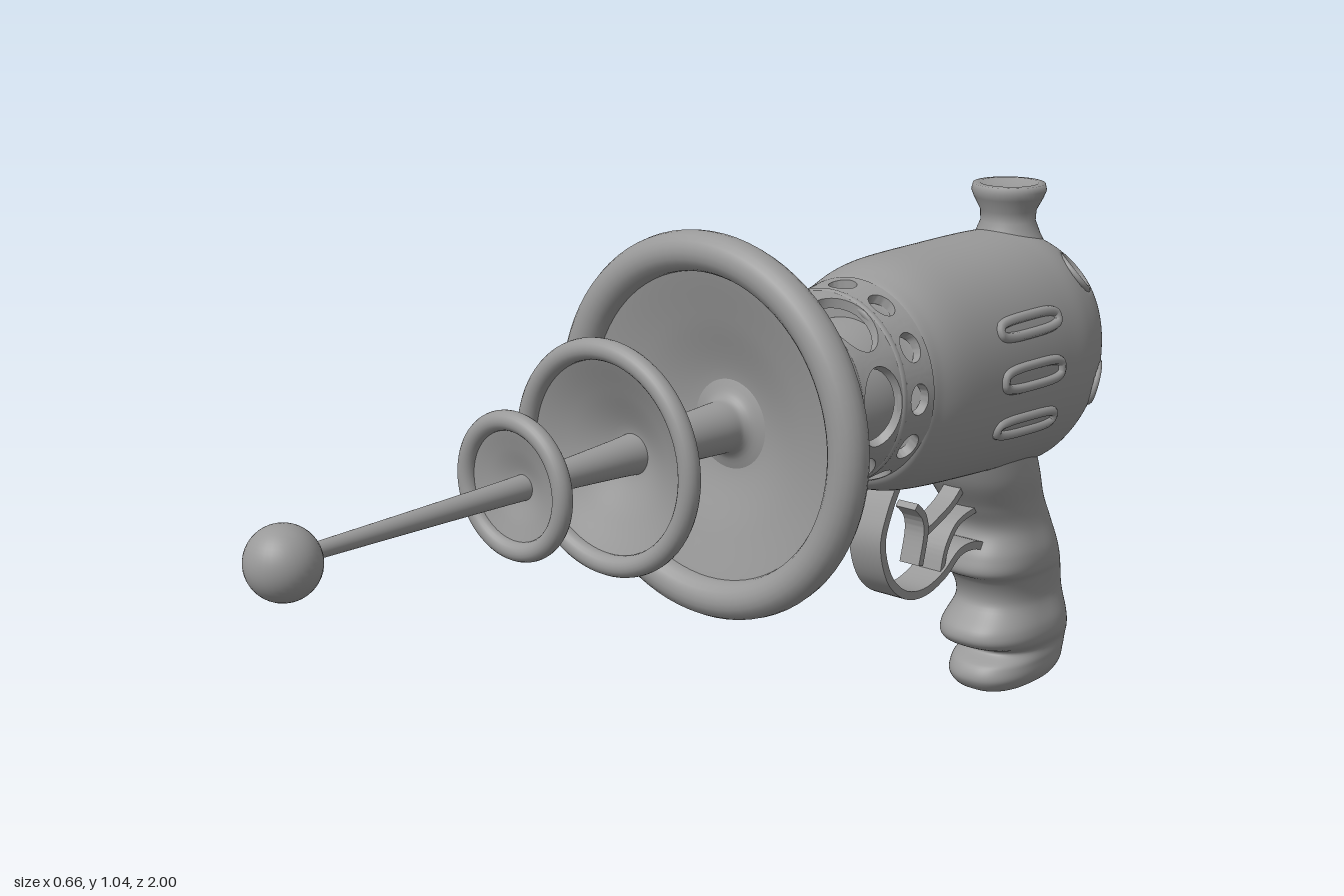
import * as THREE from 'three';
import { mergeGeometries, toCreasedNormals } from 'three/addons/utils/BufferGeometryUtils.js';

const metal = new THREE.MeshStandardMaterial({ color: 0x999999 });
metal.name = 'grey metal';
const AXIS = 0.708; // height of the barrel axis
const V = (x, y, z) => new THREE.Vector3(x, y, z);
const sgnPow = (v, e) => Math.sign(v) * Math.abs(v) ** e;

// Smooth interpolation through rows of numbers, t in 0..1
function sampleRows(rows, t) {
  const n = rows.length - 1, f = Math.min(t * n, n - 1e-6), i = Math.floor(f), u = f - i;
  const r = k => rows[Math.max(0, Math.min(n, k))];
  return rows[0].map((_, c) => {
    const [a, b, d, e] = [r(i - 1)[c], r(i)[c], r(i + 1)[c], r(i + 2)[c]];
    return b + 0.5 * u * (d - a + u * (2 * a - 5 * b + 4 * d - e + u * (3 * (b - d) + e - a)));
  });
}

// Surface made of loops: point(u, angle), closed around the angle
function loft(nu, nv, point) {
  const pos = [], idx = [];
  for (let i = 0; i <= nu; i++)
    for (let j = 0; j < nv; j++) pos.push(...point(i / nu, (j / nv) * Math.PI * 2).toArray());
  for (let i = 0; i < nu; i++)
    for (let j = 0; j < nv; j++) {
      const a = i * nv + j, d = i * nv + (j + 1) % nv, b = a + nv, c = d + nv;
      idx.push(a, b, d, b, c, d);
    }
  const g = new THREE.BufferGeometry();
  g.setAttribute('position', new THREE.Float32BufferAttribute(pos, 3));
  g.setIndex(idx);
  g.computeVertexNormals();
  return g;
}

// Lathe around the z axis, points are [radius, z] from back to front
function latheZ(pts, smooth = 1) {
  const p = pts.map(([r, z]) => new THREE.Vector2(r, z));
  const prof = smooth ? new THREE.SplineCurve(p).getPoints(pts.length * 6) : p;
  prof.forEach(q => { q.x = Math.max(0, q.x); });
  return new THREE.LatheGeometry(prof, 64).rotateX(Math.PI / 2);
}

// Flat band following a curve of [z, y] points
function band(pts, width, thick) {
  const c = new THREE.SplineCurve(pts.map(p => new THREE.Vector2(...p)));
  const side = s => Array.from({ length: 41 }, (_, i) => {
    const t = c.getTangent(i / 40), p = c.getPoint(i / 40);
    return new THREE.Vector2(p.x - t.y * s * thick / 2, p.y + t.x * s * thick / 2);
  });
  const shape = new THREE.Shape([...side(1), ...side(-1).reverse()]);
  const g = new THREE.ExtrudeGeometry(shape, { depth: width, bevelEnabled: false });
  return toCreasedNormals(g.rotateY(-Math.PI / 2).translate(width / 2, 0, 0), 0.6);
}

// Rounded lip drawn on a lofted surface
function lip(point, t0, dt, a0, da, radius) {
  const pts = Array.from({ length: 32 }, (_, i) => {
    const q = (i / 32) * Math.PI * 2;
    return point(t0 + dt * sgnPow(Math.cos(q), 0.6), a0 + da * sgnPow(Math.sin(q), 0.6));
  });
  return new THREE.TubeGeometry(new THREE.CatmullRomCurve3(pts, true), 80, radius, 8, true);
}

// Body sections: z, centre y, half width, half height
const bodyRows = [
  [-0.33, 0.71, 0.1, 0.12], [-0.337, 0.71, 0.165, 0.178], [-0.375, 0.71, 0.18, 0.2],
  [-0.45, 0.71, 0.19, 0.214], [-0.6, 0.705, 0.192, 0.222], [-0.75, 0.7, 0.19, 0.227],
  [-0.83, 0.695, 0.186, 0.224], [-0.9, 0.7, 0.165, 0.185], [-0.95, 0.72, 0.115, 0.12],
  [-0.98, 0.715, 0.06, 0.062], [-0.985, 0.71, 0, 0],
];
// Round ports sunk in the back of the body
const ports = [{ p: V(0, 0.712, -0.982), n: V(0, 0, -1) }];
for (const s of [1, -1])
  ports.push(
    { p: V(s * 0.118, 0.845, -0.865), n: V(s * 0.55, 0.62, -0.5).normalize() },
    { p: V(s * 0.152, 0.635, -0.895), n: V(s * 0.75, -0.22, -0.6).normalize(), knob: true });

const bodySkin = (t, a) => {
  const [z, y, rx, ry] = sampleRows(bodyRows, t);
  return V(rx * sgnPow(Math.cos(a), 0.94), y + ry * sgnPow(Math.sin(a), 0.94), z);
};
const bodyPoint = (t, a) => {
  const v = bodySkin(t, a), move = V(0, 0, 0);
  for (const { p, n } of ports) {
    const k = 1 - THREE.MathUtils.smoothstep(v.distanceTo(p), 0.022, 0.044);
    move.addScaledVector(n, -0.03 * k);
  }
  return v.add(move);
};

// Grip sections: y, front z, back z, half width
const gripRows = [
  [0, -0.85, -0.86, 0], [0.004, -0.76, -0.955, 0.06], [0.03, -0.727, -0.985, 0.085],
  [0.06, -0.735, -0.995, 0.088], [0.085, -0.77, -0.998, 0.087], [0.11, -0.712, -0.995, 0.1],
  [0.14, -0.705, -0.99, 0.1], [0.19, -0.745, -0.978, 0.087], [0.24, -0.73, -0.965, 0.092],
  [0.265, -0.692, -0.955, 0.1], [0.3, -0.695, -0.94, 0.1], [0.35, -0.715, -0.918, 0.09],
  [0.4, -0.69, -0.892, 0.09], [0.46, -0.65, -0.865, 0.1], [0.53, -0.62, -0.84, 0.1],
];
const gripPoint = (t, a) => {
  const [y, zf, zb, w] = sampleRows(gripRows, t);
  return V(w * sgnPow(Math.cos(a), 0.8), Math.max(0, y), (zf + zb) / 2 + (zf - zb) / 2 * sgnPow(Math.sin(a), 0.8));
};

// One cage cell: a curved panel with an oval window and real thickness
function cageCell(a0, da, z0, dz, fill) {
  return loft(9, 32, (u, q) => {
    const k = Math.round(u * 9), inner = k > 4, m = (inner ? 9 - k : k) / 4;
    const c = Math.cos(q), s = Math.sin(q), sq = 1 / Math.max(Math.abs(c), Math.abs(s));
    const f = THREE.MathUtils.lerp(sq, fill, m);
    const a = a0 + da * c * f, z = z0 - dz * s * f;
    const r = THREE.MathUtils.mapLinear(z, -0.17, -0.345, 0.158, 0.184) - (inner ? 0.018 : 0);
    return V(r * Math.cos(a) * 0.97, 0.718 + r * Math.sin(a), z);
  });
}

export function createModel() {
  const root = new THREE.Group();
  const add = (name, geo, x = 0, y = 0, z = 0) => {
    const m = new THREE.Mesh(geo, metal);
    m.name = name;
    m.position.set(x, y, z);
    root.add(m);
    return m;
  };

  // Barrel: core, neck and tapering rod, with the ball at the tip
  add('barrel', latheZ([[0.13, -0.36], [0.125, -0.28], [0.108, -0.2], [0.084, -0.165], [0.069, -0.13], [0.063, -0.08],
    [0.075, -0.045], [0.09, -0.02], [0.05, 0], [0.043, 0.04], [0.036, 0.2], [0.03, 0.28], [0.02, 0.49], [0.012, 0.92]]), 0, 0.705);
  add('tipBall', new THREE.SphereGeometry(0.057, 32, 24), 0, 0.702, 0.943);

  // Three dishes: rim z, outer radius, rim tube, depth, hub radius
  for (const [name, z, R, tube, depth, hub] of [
    ['largeDish', 0.042, 0.331, 0.034, 0.075, 0.08],
    ['middleDish', 0.288, 0.196, 0.018, 0.07, 0.04],
    ['smallDish', 0.492, 0.12, 0.016, 0.028, 0.022]]) {
    const r = R - tube, th = tube * 0.6;
    add(name, latheZ([[0, -depth], [hub, -depth], [hub + (r - hub) * 0.5, -depth * 0.55], [r, -th],
      [r, th * 0.4], [hub + (r - hub) * 0.5, -depth * 0.55 + th], [hub, -depth + th], [0, -depth + th]]), 0, AXIS, z);
    add(name + 'Rim', new THREE.TorusGeometry(r, tube, 20, 80), 0, AXIS + 0.003, z);
  }

  // Pierced cage between the neck and the body
  const cells = [];
  for (let i = 0; i < 6; i++) cells.push(cageCell(i * Math.PI / 3, Math.PI / 6, -0.225, 0.053, 0.84));
  for (let i = 0; i < 12; i++) cells.push(cageCell(i * Math.PI / 6, Math.PI / 12, -0.312, 0.035, 0.6));
  add('cage', toCreasedNormals(mergeGeometries(cells), 0.7));
  for (const [z, r, t] of [[-0.174, 0.151, 0.01], [-0.278, 0.166, 0.01]])
    add('cageRing', new THREE.TorusGeometry(r, t, 12, 64), 0, 0.718, z).scale.x = 0.97;

  // Body with sunken ports and side vents
  add('body', loft(130, 144, bodyPoint));
  for (const { p, n, knob } of ports) {
    const ring = add('portRing', new THREE.TorusGeometry(0.04, 0.006, 10, 32), p.x, p.y, p.z);
    ring.quaternion.setFromUnitVectors(V(0, 0, 1), n);
    if (knob) add('portKnob', new THREE.SphereGeometry(0.018, 16, 12), ...p.clone().addScaledVector(n, -0.022).toArray());
  }
  for (const side of [0, 1])
    for (const a of [0.4, 0, -0.41])
      add('sideVent', lip(bodySkin, 0.422, 0.058, side ? Math.PI - a : a, 0.075, 0.0095));

  // Flared sight on top
  const sight = [[0.075, 0.89], [0.062, 0.915], [0.052, 0.94], [0.053, 0.96], [0.066, 0.985], [0.071, 0.998],
    [0.068, 1.01], [0.055, 1.011], [0.045, 1.003], [0, 1.0]].map(p => new THREE.Vector2(...p));
  add('topSight', new THREE.LatheGeometry(sight, 40), 0, 0, -0.812);

  // Grip with finger grooves and a raised spine outline
  add('grip', loft(110, 64, gripPoint));
  add('gripSpine', lip(gripPoint, 0.63, 0.25, -Math.PI / 2, 0.3, 0.008));

  // Trigger guard and trigger
  add('triggerGuard', band([[-0.45, 0.52], [-0.415, 0.46], [-0.397, 0.4], [-0.42, 0.33], [-0.47, 0.287],
    [-0.53, 0.277], [-0.59, 0.295], [-0.64, 0.328], [-0.69, 0.33], [-0.73, 0.315]], 0.072, 0.016));
  add('guardHook', band([[-0.59, 0.295], [-0.605, 0.345], [-0.64, 0.385], [-0.7, 0.4]], 0.06, 0.012));
  add('trigger', band([[-0.515, 0.445], [-0.54, 0.42], [-0.547, 0.385], [-0.533, 0.325]], 0.045, 0.014));
  add('triggerArm', band([[-0.545, 0.383], [-0.59, 0.4], [-0.64, 0.425], [-0.69, 0.47]], 0.04, 0.014));
  return root;
}
